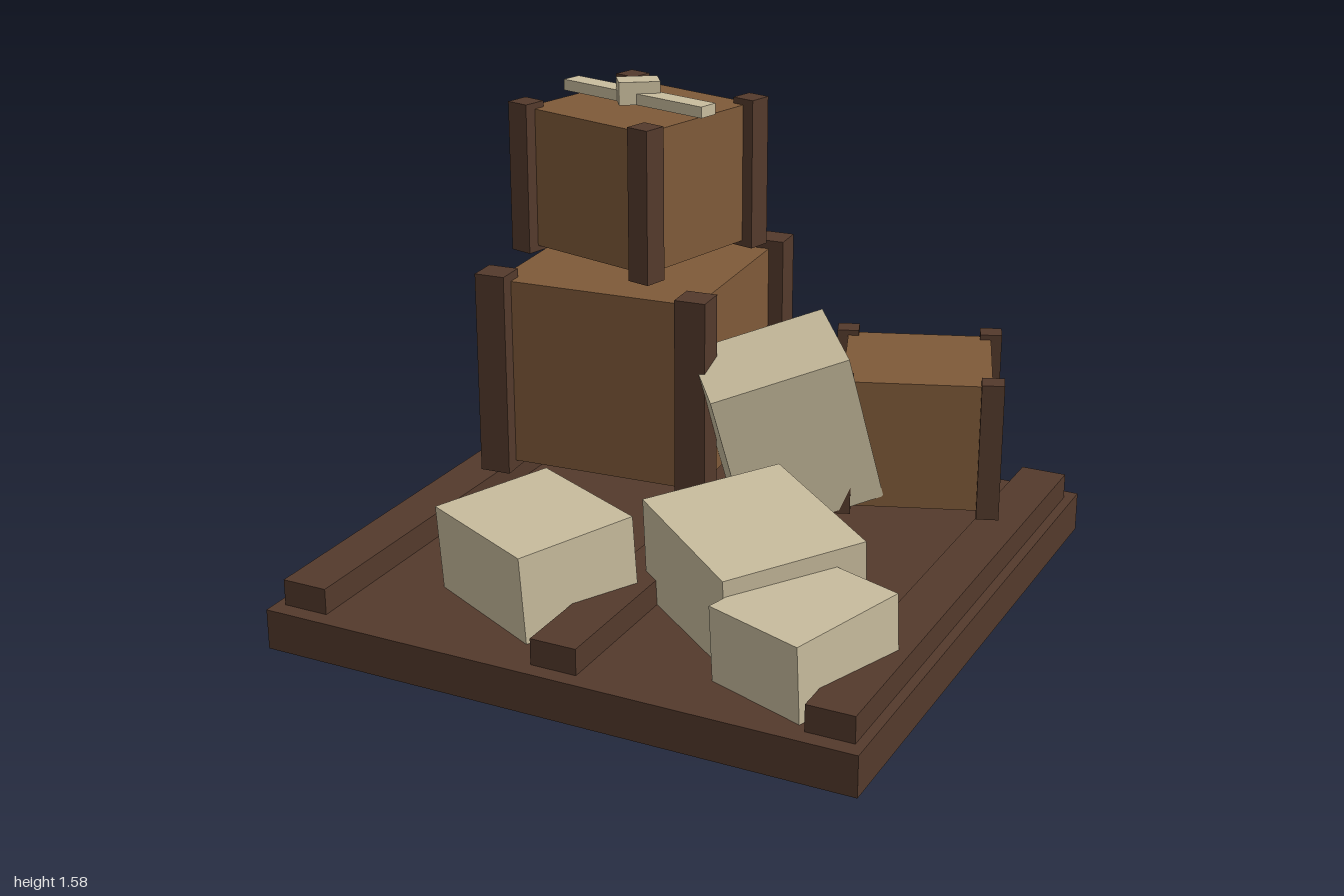
import * as THREE from 'three';

const material = (name, color) => Object.assign(new THREE.MeshStandardMaterial({ color }), { name });

export function createModel() {
  const model = new THREE.Group();
  model.name = 'cargoPallet';
  const darkWood = material('darkWood', 0x543a2c);
  const wood = material('wood', 0x7f5a39);
  const stone = material('stone', 0xc9bd9e);

  // Axis-aligned box between two heights
  function box(parent, name, mat, w, d, y0, y1, x = 0, z = 0, yaw = 0) {
    const mesh = new THREE.Mesh(new THREE.BoxGeometry(w, y1 - y0, d), mat);
    mesh.name = name;
    mesh.position.set(x, (y0 + y1) / 2, z);
    mesh.rotation.y = yaw;
    parent.add(mesh);
    return mesh;
  }

  // Crate with a post on each corner, slightly taller than its body
  function crate(name, x, z, yaw, size, post, bodyY, postY) {
    const group = new THREE.Group();
    group.name = name;
    group.position.set(x, 0, z);
    group.rotation.y = yaw;
    box(group, 'crateBody', wood, size, size, ...bodyY);
    for (const sx of [-1, 1]) {
      for (const sz of [-1, 1]) {
        box(group, 'cornerPost', darkWood, post, post, ...postY, sx * size / 2, sz * size / 2);
      }
    }
    model.add(group);
  }

  // Tilted block: top corner a, its two neighbours b and d, and a depth
  function block(name, a, b, d, depth) {
    const origin = new THREE.Vector3(...a);
    const u = new THREE.Vector3(...b).sub(origin);
    const v = new THREE.Vector3(...d).sub(origin);
    const width = u.length(), length = v.length();
    const up = u.clone().cross(v).normalize();
    const xAxis = u.clone().normalize();
    const zAxis = xAxis.clone().cross(up);
    const mesh = new THREE.Mesh(new THREE.BoxGeometry(width, depth, length), stone);
    mesh.name = name;
    mesh.quaternion.setFromRotationMatrix(new THREE.Matrix4().makeBasis(xAxis, up, zAxis));
    mesh.position.copy(origin).addScaledVector(u, 0.5).addScaledVector(v, 0.5).addScaledVector(up, -depth / 2);
    model.add(mesh);
  }

  // Pallet
  box(model, 'base', darkWood, 2, 2, 0, 0.135);
  for (const x of [-0.89, 0, 0.89]) box(model, 'runner', darkWood, 0.155, 1.89, 0.1, 0.222, x);

  // Crates
  crate('largeCrate', -0.47, -0.505, 0.07, 0.73, 0.108, [0.265, 0.92], [0.235, 0.95]);
  crate('upperCrate', -0.445, -0.47, -0.245, 0.536, 0.083, [1.01, 1.487], [0.99, 1.508]);
  crate('sideCrate', 0.533, -0.615, 0.354, 0.49, 0.074, [0.25, 0.69], [0.235, 0.708]);

  // Stone blocks
  block('leaningBlock', [0.08, 0.68, 0.045], [0.45, 0.805, -0.215], [-0.15, 0.725, -0.25], 0.54);
  block('leftBlock', [-0.165, 0.425, 0.855], [0.025, 0.452, 0.485], [-0.6, 0.42, 0.63], 0.32);
  block('middleBlock', [0.46, 0.442, 0.76], [0.755, 0.475, 0.385], [0.025, 0.48, 0.405], 0.36);
  block('rightBlock', [0.78, 0.385, 0.93], [0.925, 0.41, 0.535], [0.445, 0.385, 0.81], 0.28);

  // Bar and knob lying on the upper crate
  box(model, 'topBar', stone, 0.615, 0.073, 1.497, 1.535, -0.447, -0.47, -0.24);
  box(model, 'topKnob', stone, 0.14, 0.09, 1.497, 1.575, -0.448, -0.472, 0.6);

  return model;
}
